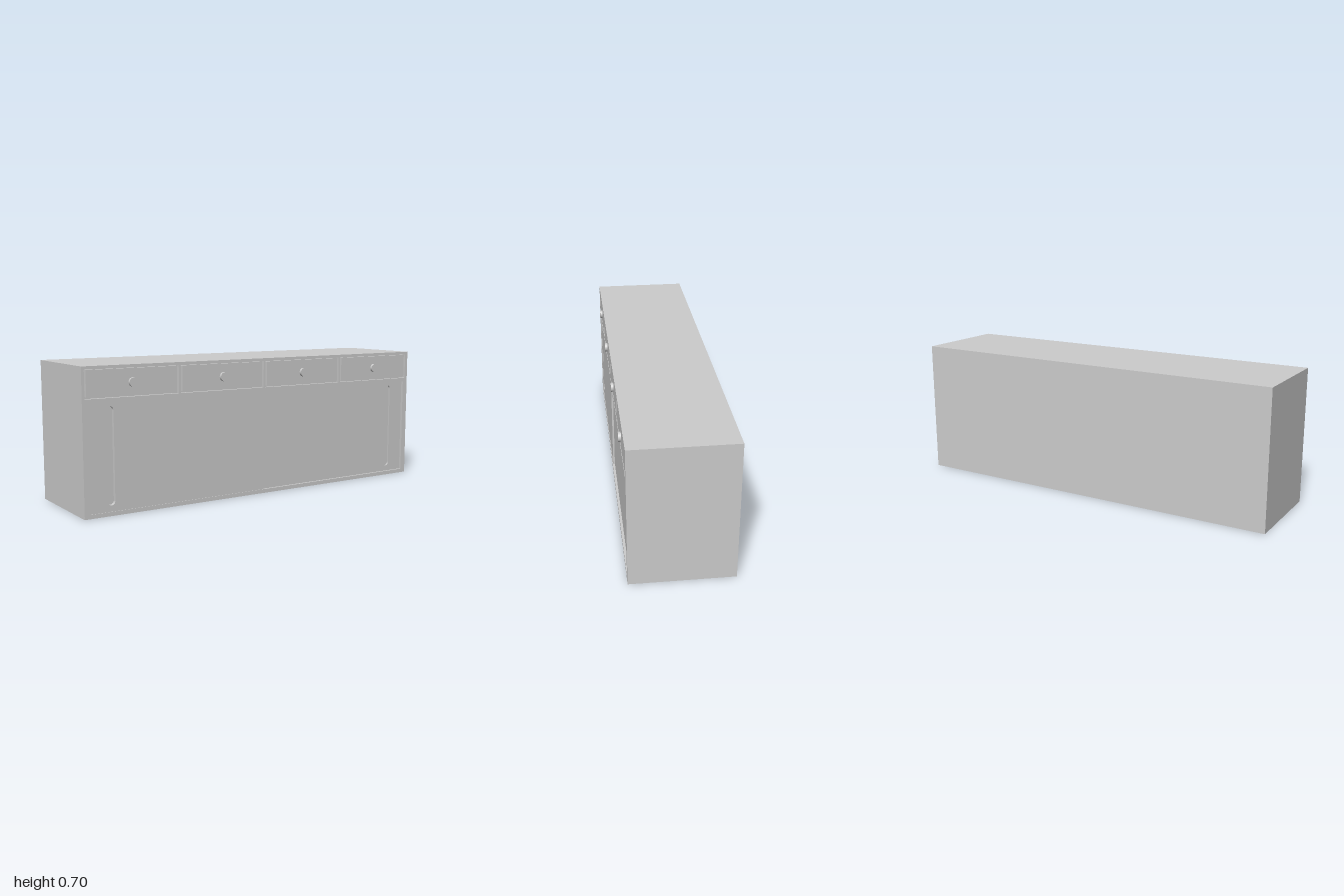
import * as THREE from 'three';

const material = new THREE.MeshStandardMaterial({ color: 0xcccccc });
const BACK = -0.255, BED = 0.225, FRONT = 0.245;

function rectPoints(x0, x1, y0, y1) {
  return [[x0, y0], [x1, y0], [x1, y1], [x0, y1]].map(([x, y]) => new THREE.Vector2(x, y));
}

// Flat board standing between two depths, with optional cut-outs
function board(name, points, holes, z0, z1) {
  const shape = new THREE.Shape(points);
  holes.forEach((h) => shape.holes.push(h));
  const geometry = new THREE.ExtrudeGeometry(shape, { depth: z1 - z0, bevelEnabled: false, curveSegments: 12 });
  geometry.translate(0, 0, z0);
  const mesh = new THREE.Mesh(geometry, material);
  mesh.name = name;
  return mesh;
}

// Upright slot with rounded ends
function slot(x, y0, y1, r) {
  const path = new THREE.Path();
  path.absarc(x, y1 - r, r, 0, Math.PI, false);
  path.absarc(x, y0 + r, r, Math.PI, Math.PI * 2, false);
  path.closePath();
  return path;
}

export function createModel() {
  const group = new THREE.Group();
  group.name = 'sideboard';

  // Solid carcass
  const carcass = new THREE.Mesh(new THREE.BoxGeometry(2, 0.7, BED - BACK), material);
  carcass.position.set(0, 0.35, (BED + BACK) / 2);
  carcass.name = 'carcass';
  group.add(carcass);

  // Front frame with four drawer openings and one wide door opening
  const drawers = [-0.745, -0.25, 0.245, 0.74];
  const half = 0.242, bottom = 0.551, top = 0.685;
  const openings = drawers.map((x) => new THREE.Path(rectPoints(x - half, x + half, bottom, top)));
  openings.push(new THREE.Path(rectPoints(-0.975, 0.97, 0.02, 0.53)));
  group.add(board('frontFrame', rectPoints(-1, 1, 0, 0.7), openings, BED, FRONT));

  // Drawer fronts, each with a round knob
  drawers.forEach((x, i) => {
    const gap = 0.009;
    group.add(board(`drawerFront${i + 1}`,
      rectPoints(x - half + gap, x + half - gap, bottom + gap, top - 0.002), [], BED, FRONT - 0.001));

    const knob = new THREE.Mesh(new THREE.CylinderGeometry(0.0225, 0.0225, 0.014, 32), material);
    knob.rotation.x = Math.PI / 2;
    knob.position.set(x, 0.618, 0.25);
    knob.name = `knob${i + 1}`;
    group.add(knob);
  });

  // Sliding doors with slotted finger pulls; the left one of the pair runs behind
  group.add(board('rightDoor', rectPoints(-0.975, -0.004, 0.02, 0.53),
    [slot(-0.864, 0.05, 0.513, 0.019)], BED, 0.242));
  group.add(board('leftDoor', rectPoints(-0.004, 0.97, 0.02, 0.53),
    [slot(0.861, 0.05, 0.513, 0.019)], BED, 0.233));

  return group;
}
